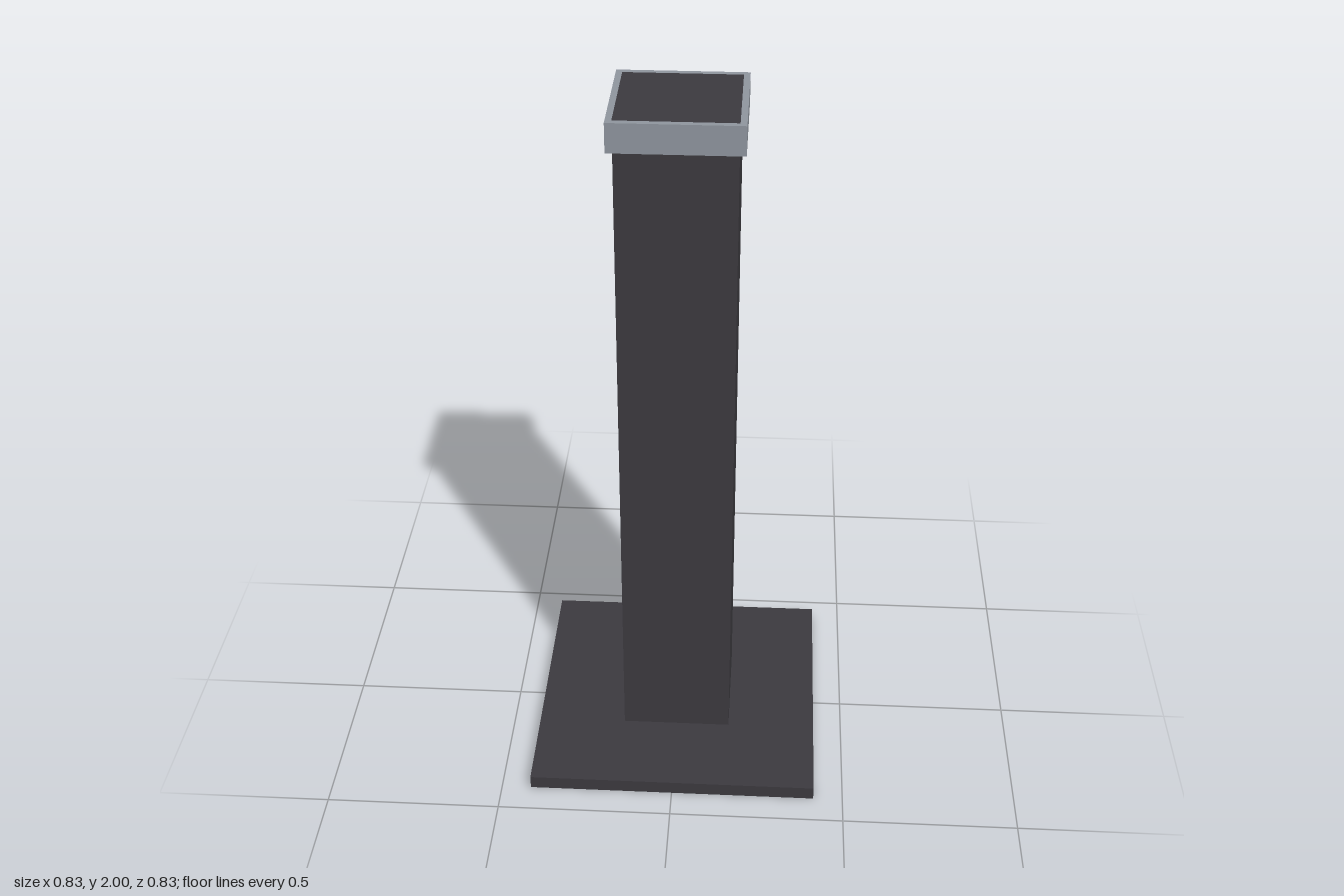
import * as THREE from 'three';

const BASE = 0.83, BASE_H = 0.04;
const POST = 0.316, HEIGHT = 2;
const COLLAR = 0.35, COLLAR_H = 0.08;

// Closed square outline, used for the collar and its opening
function square(Type, size) {
  const h = size / 2;
  return new Type([[-h, -h], [h, -h], [h, h], [-h, h]].map(([x, y]) => new THREE.Vector2(x, y)));
}

export function createModel() {
  const group = new THREE.Group();
  group.name = 'bollard';

  const darkMetal = new THREE.MeshStandardMaterial({ name: 'dark metal', color: 0x3d3b40 });
  const greyMetal = new THREE.MeshStandardMaterial({ name: 'grey metal', color: 0x9298a1 });

  function add(name, geometry, material, y) {
    const mesh = new THREE.Mesh(geometry, material);
    mesh.name = name;
    mesh.position.y = y;
    group.add(mesh);
  }

  // Floor plate
  add('basePlate', new THREE.BoxGeometry(BASE, BASE_H, BASE), darkMetal, BASE_H / 2);

  // Square post, flush with the top of the collar
  const postHeight = HEIGHT - BASE_H;
  add('post', new THREE.BoxGeometry(POST, postHeight, POST), darkMetal, BASE_H + postHeight / 2);

  // Collar around the top of the post
  const outline = square(THREE.Shape, COLLAR);
  outline.holes.push(square(THREE.Path, POST));
  const collar = new THREE.ExtrudeGeometry(outline, { depth: COLLAR_H, bevelEnabled: false });
  collar.rotateX(-Math.PI / 2);
  add('collar', collar, greyMetal, HEIGHT - COLLAR_H);

  return group;
}
